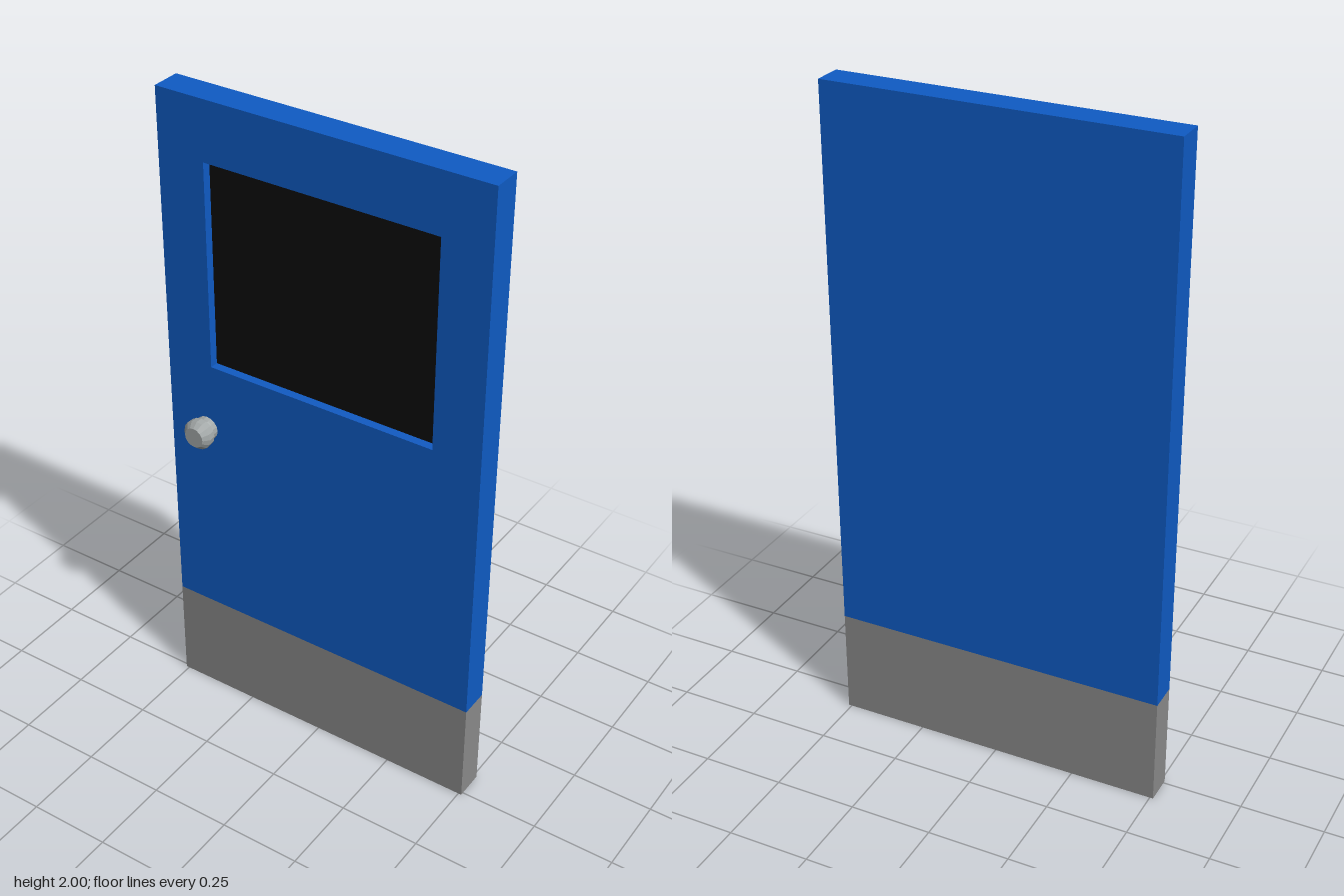
import * as THREE from 'three';

const BACK = -0.08, FRONT = 0.01, HALF = 0.51, KICK = 0.33;
const mat = (color, extra = {}) => new THREE.MeshStandardMaterial({ color, ...extra });

// Corners of a rectangle, counter-clockwise seen from the front
const ring = (x, y0, y1, z) => [[-x, y0, z], [x, y0, z], [x, y1, z], [-x, y1, z]];

// Joins successive rectangles with flat quads and caps the first one
function loftRings(rings) {
  const pos = [];
  const quad = (a, b, c, d) => [a, b, c, a, c, d].forEach(p => pos.push(...p));
  for (let r = 0; r < rings.length - 1; r++) {
    const a = rings[r], b = rings[r + 1];
    for (let i = 0; i < 4; i++) {
      const j = (i + 1) % 4;
      quad(a[i], a[j], b[j], b[i]);
    }
  }
  const [p, q, s, t] = rings[0];
  quad(t, s, q, p);
  const g = new THREE.BufferGeometry();
  g.setAttribute('position', new THREE.Float32BufferAttribute(pos, 3));
  g.computeVertexNormals();
  return g;
}

export function createModel() {
  const door = new THREE.Group();
  door.name = 'door';
  const add = (name, geometry, material, x = 0, y = 0, z = 0) => {
    const m = new THREE.Mesh(geometry, material);
    m.name = name;
    m.position.set(x, y, z);
    door.add(m);
    return m;
  };
  const blue = mat(0x0f5bc4), grey = mat(0x8a8a8a);

  // Painted slab with a bevelled window recess in the front only
  add('doorPanel', loftRings([
    ring(HALF, KICK, 2, BACK),
    ring(HALF, KICK, 2, FRONT),
    ring(0.362, 1.188, 1.82, FRONT),
    ring(0.353, 1.197, 1.812, FRONT - 0.015),
  ]), blue);

  // Dark pane at the bottom of the recess
  add('windowPane', new THREE.PlaneGeometry(0.706, 0.615), mat(0x0d0d0d), 0, 1.5045, FRONT - 0.015);

  // Grey kick plate wrapped round the foot, painted underneath
  add('kickPlate', new THREE.BoxGeometry(HALF * 2, KICK, FRONT - BACK),
    [grey, grey, grey, blue, grey, grey], 0, KICK / 2, (FRONT + BACK) / 2);

  // Turned knob: neck, wide body, chamfered flat face
  const profile = [[0.037, 0], [0.037, 0.014], [0.034, 0.018], [0.045, 0.026],
    [0.046, 0.048], [0.031, 0.065], [0, 0.065]].map(([r, h]) => new THREE.Vector2(r, h));
  const knob = add('doorKnob', new THREE.LatheGeometry(profile, 16),
    mat(0xa3a8a8, { flatShading: true }), -0.385, 0.975, FRONT);
  knob.rotation.x = Math.PI / 2;

  return door;
}
